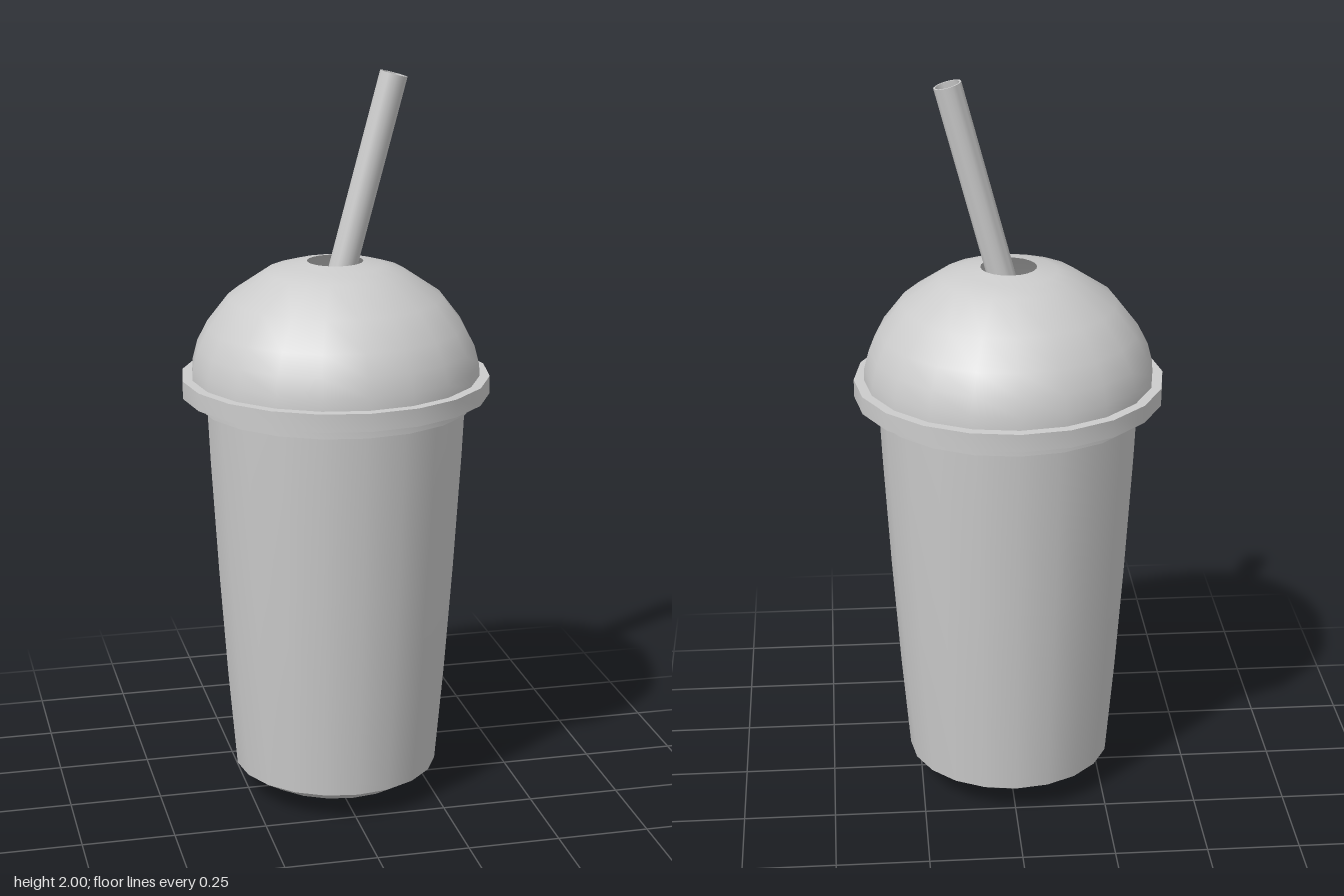
import * as THREE from 'three';
import { toCreasedNormals } from 'three/addons/utils/BufferGeometryUtils.js';

const SIDES = 20;
const material = new THREE.MeshStandardMaterial({ color: 0xcccccc, side: THREE.DoubleSide });

// Revolve a profile of [radius, height] pairs; creased keeps hard profile edges.
function revolve(name, profile, creased = false) {
  const points = profile.map(([r, y]) => new THREE.Vector2(r, y));
  let geometry = new THREE.LatheGeometry(points, SIDES);
  if (creased) geometry = toCreasedNormals(geometry, 0.7);
  const mesh = new THREE.Mesh(geometry, material);
  mesh.name = name;
  return mesh;
}

export function createModel() {
  const group = new THREE.Group();
  group.name = 'lidded cup with straw';

  // Cup: gently flared wall and a shallow rounded base
  const cup = new THREE.Group();
  cup.name = 'cup';
  cup.add(
    revolve('cupWall', [[0.28, 0.08], [0.303, 0.35], [0.324, 0.65], [0.343, 0.97], [0.35, 1.12]]),
    revolve('cupBase', [[0, 0], [0.09, 0.002], [0.155, 0.018], [0.22, 0.043], [0.28, 0.08]]),
  );

  // Lid: stepped rim around the cup mouth, and a dome with a straw hole
  const lid = new THREE.Group();
  lid.name = 'lid';
  lid.add(
    revolve('lidRim', [[0.35, 1.115], [0.372, 1.115], [0.372, 1.145], [0.415, 1.145],
      [0.415, 1.193], [0.388, 1.193]], true),
    revolve('lidDome', [[0.388, 1.193], [0.386, 1.225], [0.373, 1.275], [0.345, 1.33],
      [0.287, 1.405], [0.185, 1.474], [0.13, 1.49], [0.075, 1.5]]),
  );

  // Straw: hollow tube leaning to the left, hung from its upper end
  const length = 1.58;
  const straw = revolve('straw', [[0.032, -length], [0.037, -length], [0.037, 0],
    [0.032, 0], [0.032, -length]], true);
  straw.position.set(0.157, 1.99, 0);
  straw.rotation.z = -THREE.MathUtils.degToRad(15);

  group.add(cup, lid, straw);
  return group;
}
